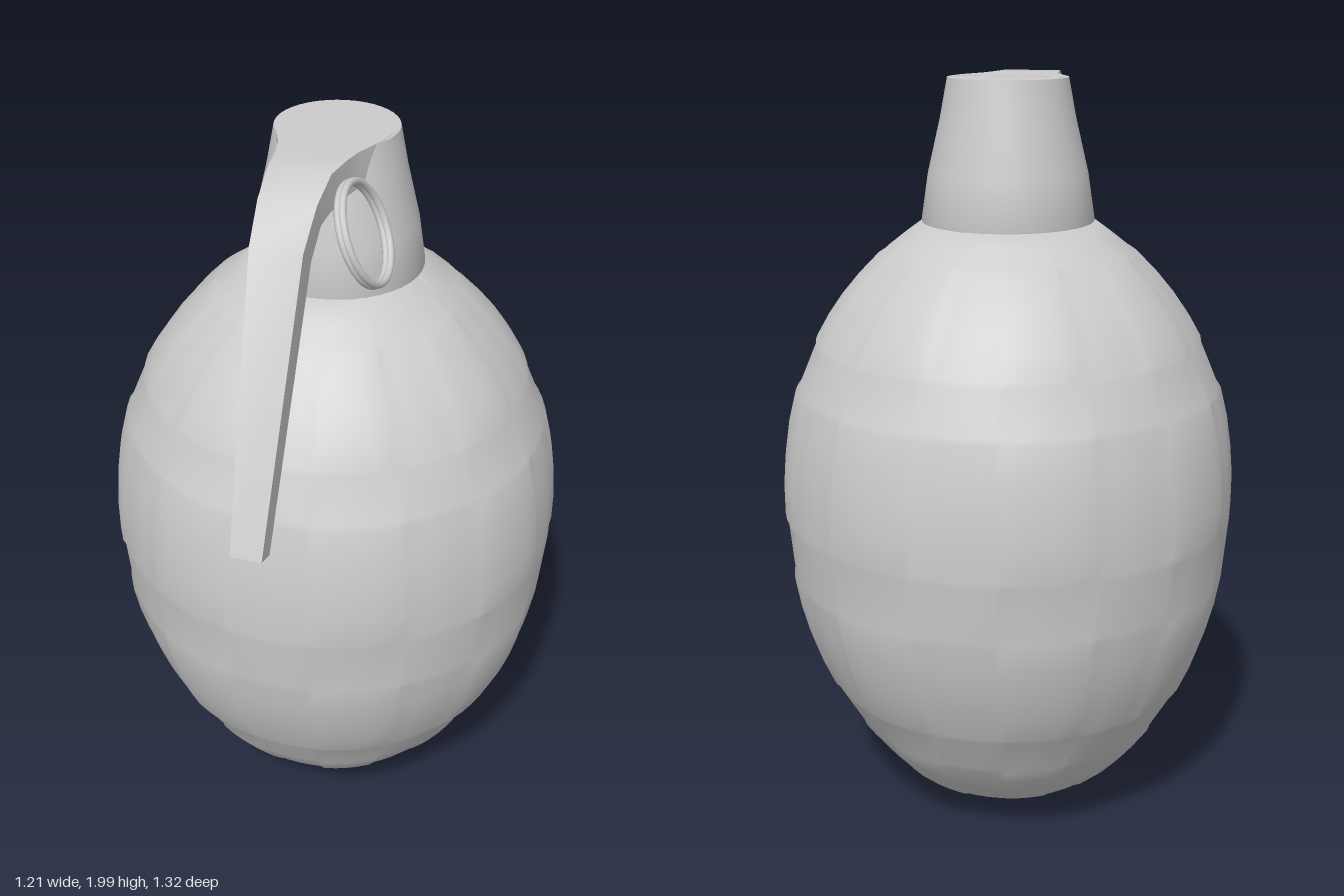
import * as THREE from 'three';
import { toCreasedNormals } from 'three/addons/utils/BufferGeometryUtils.js';

const AXIS_Z = -0.055; // centre line of the body and neck
const material = () => new THREE.MeshStandardMaterial({ color: 0xcccccc, roughness: 0.7 });

function part(name, geometry) {
  const mesh = new THREE.Mesh(geometry, material());
  mesh.name = name;
  return mesh;
}

// Joins closed loops of points into a skin and caps both ends
function loft(loops) {
  const n = loops[0].length, index = [];
  for (let i = 0; i < loops.length - 1; i++) {
    for (let j = 0; j < n; j++) {
      const a = i * n + j, b = i * n + (j + 1) % n;
      index.push(a, a + n, b, b, a + n, b + n);
    }
  }
  const last = (loops.length - 1) * n;
  for (let j = 1; j < n - 1; j++) {
    index.push(0, j, j + 1, last, last + j + 1, last + j);
  }
  const geometry = new THREE.BufferGeometry();
  geometry.setAttribute('position', new THREE.Float32BufferAttribute(loops.flat(2), 3));
  geometry.setIndex(index);
  geometry.computeVertexNormals();
  return geometry;
}

// Egg-shaped body with four rows of eight very low raised blocks
function bodyGeometry() {
  const outline = [[0.01, 0.05], [0.03, 0.125], [0.09, 0.265], [0.2, 0.378], [0.4, 0.502], [0.6, 0.572],
    [0.85, 0.603], [1.02, 0.597], [1.2, 0.56], [1.4, 0.463], [1.55, 0.335], [1.64, 0.22]];
  const curve = new THREE.CatmullRomCurve3(outline.map(([y, r]) => new THREE.Vector3(r, y, 0)));
  const samples = curve.getPoints(220);
  const radiusAt = y => {
    const k = samples.findIndex(p => p.y >= y - 1e-6);
    if (k <= 0) return k < 0 ? samples.at(-1).x : samples[0].x;
    const p = samples[k - 1], q = samples[k];
    return THREE.MathUtils.lerp(p.x, q.x, (y - p.y) / (q.y - p.y));
  };

  // Ring heights: plain rings, plus a sloped edge below and above each block
  const levels = [0.01, 0.03, 0.055].map(y => ({ y, raised: false }));
  for (const [low, high] of [[0.1, 0.25], [0.39, 0.68], [0.86, 1.19], [1.33, 1.55]]) {
    levels.push({ y: low - 0.015, raised: false });
    for (let k = 0; k <= 4; k++) levels.push({ y: THREE.MathUtils.lerp(low, high, k / 4), raised: true });
    levels.push({ y: high + 0.015, raised: false });
  }
  levels.push({ y: 1.6, raised: false }, { y: 1.64, raised: false });

  const columns = [-17, -12.5, -10.5, -5, 0, 5, 10.5, 12.5, 17, 22.5];
  const loops = levels.map(({ y, raised }) => {
    const loop = [];
    for (let k = 0; k < 8; k++) {
      for (const offset of columns) {
        const angle = THREE.MathUtils.degToRad(22.5 + 45 * k + offset);
        const r = radiusAt(y) + (raised && Math.abs(offset) < 11 ? 0.006 : 0);
        loop.push([r * Math.cos(angle), y, AXIS_Z + r * Math.sin(angle)]);
      }
    }
    return loop;
  });
  return loft(loops);
}

// Tapered neck with a flat top
function neckGeometry() {
  const profile = [[0.215, 1.6], [0.225, 1.64], [0.207, 1.76], [0.174, 1.9], [0.155, 1.999], [0, 1.999]];
  const lathe = new THREE.LatheGeometry(profile.map(([r, y]) => new THREE.Vector2(r, y)), 40);
  lathe.translate(0, 0, AXIS_Z - 0.005);
  return toCreasedNormals(lathe, 0.6);
}

// Lever: flares out of the neck top, bends over and runs down, narrowing
function leverGeometry() {
  // top z, top y, bottom z, bottom y, half width
  const sections = [
    [-0.06, 2, -0.06, 1.91, 0.15],
    [0, 2, 0, 1.91, 0.138],
    [0.05, 2, 0.05, 1.91, 0.117],
    [0.09, 2, 0.09, 1.91, 0.1],
    [0.14, 2, 0.14, 1.91, 0.088],
    [0.23, 2, 0.24, 1.91, 0.076],
    [0.32, 1.96, 0.29, 1.9, 0.07],
    [0.4, 1.88, 0.345, 1.835, 0.064],
    [0.66, 1.2, 0.605, 1.183, 0.04],
  ];
  const loops = sections.map(([tz, ty, bz, by, w]) =>
    [[w, ty, tz], [w, by, bz], [-w, by, bz], [-w, ty, tz]]);
  return toCreasedNormals(loft(loops), 0.5);
}

export function createModel() {
  const model = new THREE.Group();
  model.name = 'model';
  model.add(part('body', bodyGeometry()));
  model.add(part('neck', neckGeometry()));
  model.add(part('lever', leverGeometry()));

  // Split pull ring: two thin coils side by side, hanging at a tilt
  const ring = new THREE.Group();
  ring.name = 'pullRing';
  for (const side of [-1, 1]) {
    const coil = part('ringCoil', new THREE.TorusGeometry(0.121, 0.009, 10, 48));
    coil.rotation.y = Math.PI / 2;
    coil.position.x = side * 0.006;
    ring.add(coil);
  }
  ring.position.set(0.155, 1.863, 0.226);
  ring.rotation.z = 0.4;
  model.add(ring);
  return model;
}
